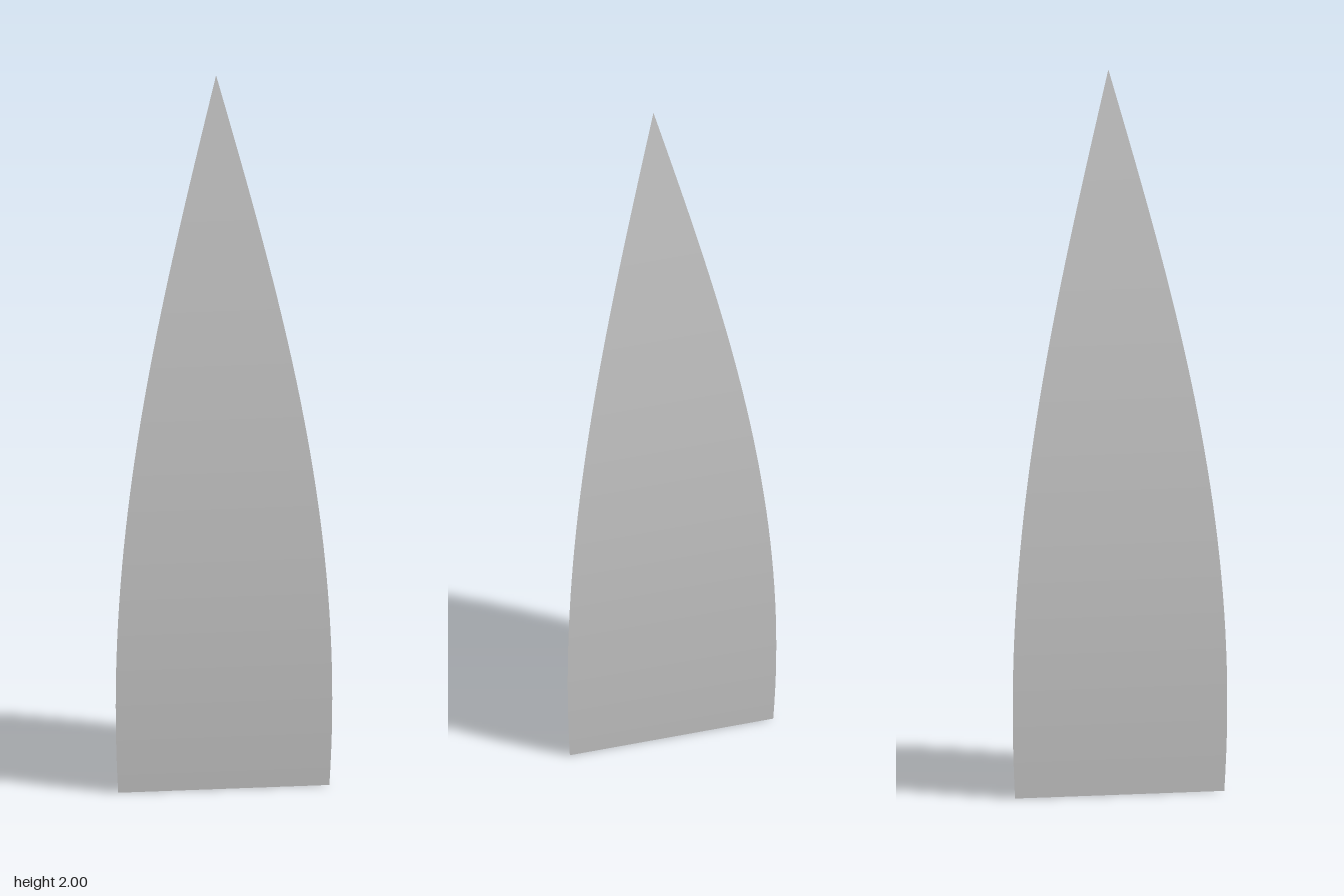
import * as THREE from 'three';

export function createModel() {
  const group = new THREE.Group();
  group.name = 'triangularSpike';

  // Three-sided body: bulges slightly above the base, then curves to a point
  const height = 2, radius = 0.3464, widestY = 0.25, rows = 40;
  const profile = [new THREE.Vector2(0, 0)];
  for (let i = 0; i < rows; i++) {
    const y = (height * i) / rows;
    const t = (y - widestY) / (height - widestY);
    profile.push(new THREE.Vector2(radius * Math.cos((t * Math.PI) / 2), y));
  }
  profile.push(new THREE.Vector2(0, height));

  // One corner points to -x, the flat side faces +x
  const geometry = new THREE.LatheGeometry(profile, 3, -Math.PI / 2);
  geometry.translate(radius / 4, 0, 0);

  const body = new THREE.Mesh(
    geometry,
    new THREE.MeshStandardMaterial({ color: 0xcccccc, flatShading: true })
  );
  body.name = 'spikeBody';
  group.add(body);
  return group;
}
